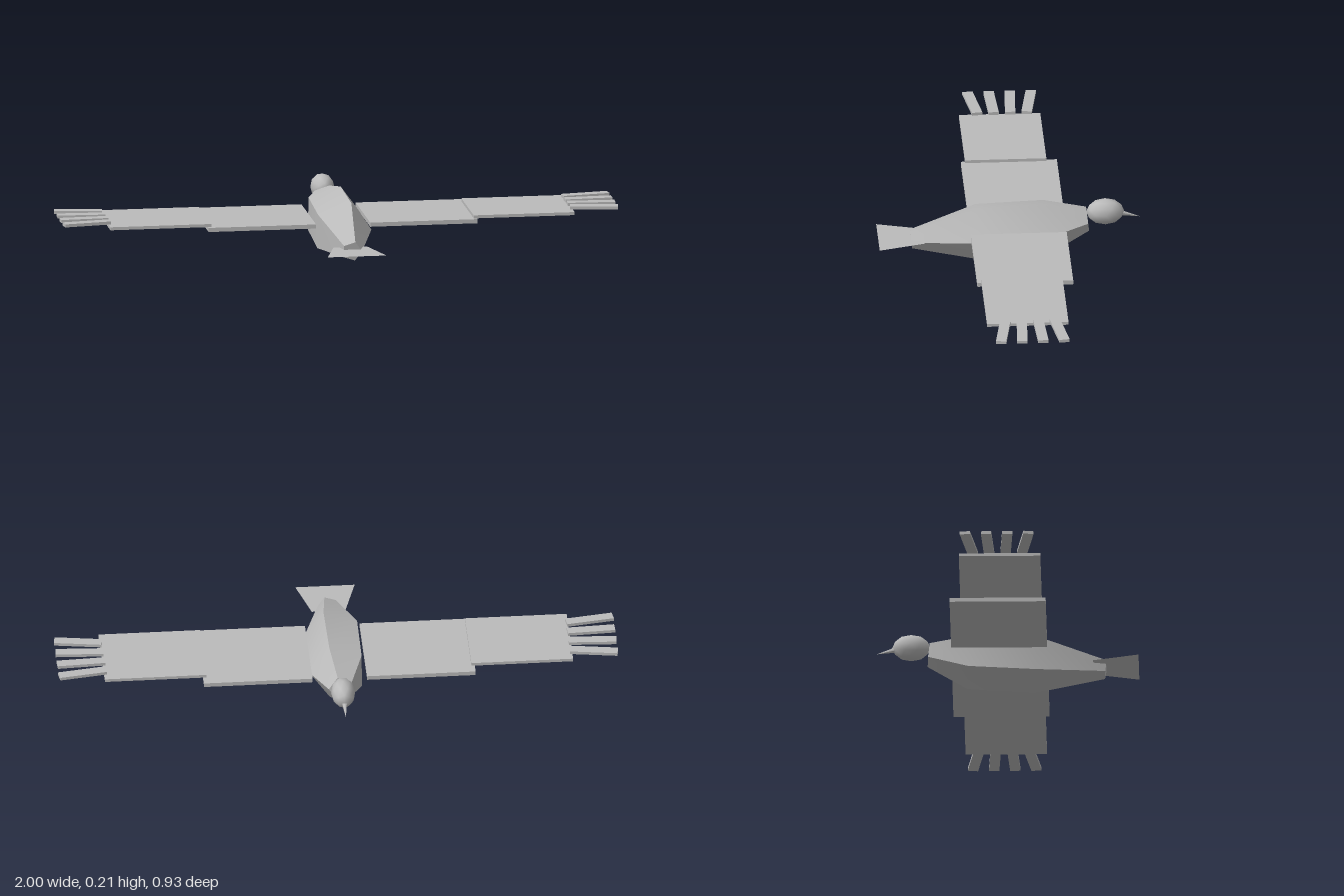
import * as THREE from 'three';
import { toCreasedNormals } from 'three/addons/utils/BufferGeometryUtils.js';

export function createModel() {
  const bird = new THREE.Group();
  bird.name = 'bird';
  const grey = new THREE.MeshStandardMaterial({ color: 0xbbbbbb, side: THREE.DoubleSide });
  grey.name = 'plain grey';

  const add = (name, geometry, x = 0, y = 0, z = 0, parent = bird) => {
    const mesh = new THREE.Mesh(geometry, grey);
    mesh.name = name;
    mesh.position.set(x, y, z);
    parent.add(mesh);
    return mesh;
  };

  // Five-sided body, slightly pitched: [z, y, radius] from the tail to the neck
  const rings = [[0.347, 0.081, 0.036], [0.105, 0.105, 0.107], [-0.136, 0.118, 0.103], [-0.283, 0.143, 0.046]];
  const sides = 5, pitch = 0.115;
  const point = (i, j) => {
    const [z, y, r] = rings[i];
    const a = (j / sides) * Math.PI * 2;
    const h = r * Math.sin(a);
    return [r * Math.cos(a), y + h * Math.cos(pitch), z + h * Math.sin(pitch)];
  };
  const verts = [];
  const last = rings.length - 1;
  for (let j = 0; j < sides; j++) {
    for (let i = 0; i < last; i++) {
      const a = point(i, j), b = point(i, j + 1), c = point(i + 1, j + 1), d = point(i + 1, j);
      verts.push(...a, ...d, ...b, ...b, ...d, ...c);
    }
    verts.push(0, rings[0][1], rings[0][0], ...point(0, j), ...point(0, j + 1));
    verts.push(0, rings[last][1], rings[last][0], ...point(last, j + 1), ...point(last, j));
  }
  const body = new THREE.BufferGeometry();
  body.setAttribute('position', new THREE.Float32BufferAttribute(verts, 3));
  add('body', toCreasedNormals(body, 0.7));

  // Head and beak
  add('head', new THREE.IcosahedronGeometry(1, 1), 0, 0.168, -0.346).scale.set(0.043, 0.048, 0.068);
  const beak = new THREE.ConeGeometry(0.015, 0.1, 6);
  beak.rotateX(-Math.PI / 2 - 0.24);
  add('beak', beak, 0, 0.156, -0.421);

  // Flat tail fan
  const fan = new THREE.Shape([[-0.06, 0.302], [0.06, 0.302], [0.106, 0.464], [-0.106, 0.464]]
    .map(([x, z]) => new THREE.Vector2(x, z)));
  add('tail', new THREE.ShapeGeometry(fan).rotateX(Math.PI / 2), 0, 0.088, 0);

  // Wings: two overlapping panels and four fanned feathers per side
  for (const s of [1, -1]) {
    const wing = new THREE.Group();
    wing.name = s > 0 ? 'leftWing' : 'rightWing';
    bird.add(wing);
    add('innerWing', new THREE.BoxGeometry(0.387, 0.015, 0.342), s * 0.291, 0.1305, -0.032, wing);
    add('outerWing', new THREE.BoxGeometry(0.363, 0.011, 0.29), s * 0.654, 0.1435, -0.02, wing);
    for (let i = 0; i < 4; i++) {
      const k = i - 1.5;
      const feather = add('feather', new THREE.BoxGeometry(0.17, 0.011, 0.037),
        s * 0.913, 0.1545, -0.028 + k * 0.067, wing);
      feather.rotation.y = -s * k * 0.1;
    }
  }
  return bird;
}
